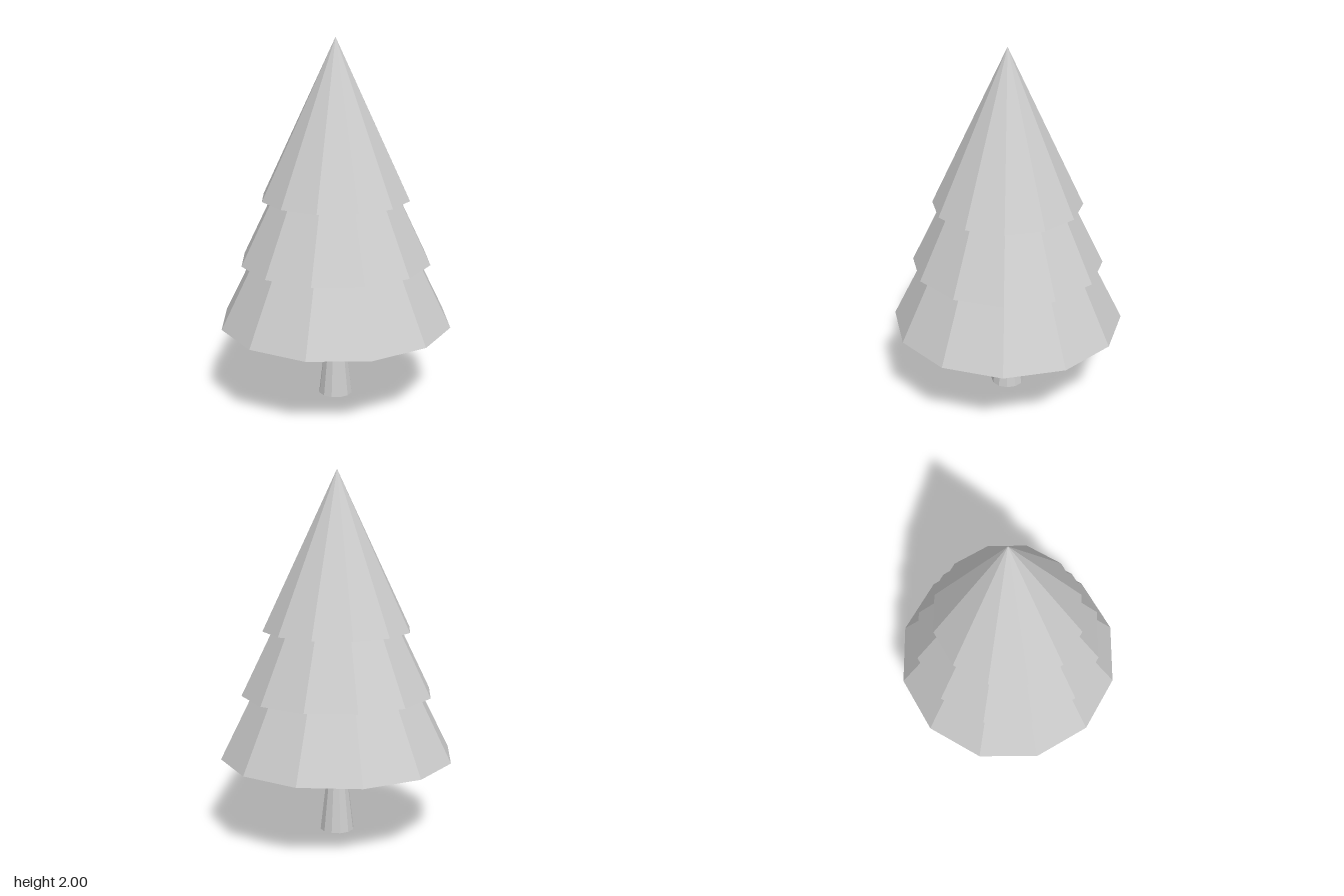
import * as THREE from 'three';

const SIDES = 12;

export function createModel() {
  const tree = new THREE.Group();
  tree.name = 'tree';
  const grey = new THREE.MeshStandardMaterial({ color: 0xcccccc, flatShading: true });
  grey.name = 'plain grey';

  // Closed, faceted cone or frustum standing on height y
  function addTier(name, topRadius, baseRadius, y, height) {
    const geometry = new THREE.CylinderGeometry(topRadius, baseRadius, height, SIDES);
    geometry.translate(0, y + height / 2, 0);
    const mesh = new THREE.Mesh(geometry, grey);
    mesh.name = name;
    tree.add(mesh);
  }

  // Tapered trunk, ending just inside the foliage
  addTier('trunk', 0.04, 0.095, 0, 0.46);

  // Three overlapping tiers of foliage
  addTier('lowerFoliage', 0, 0.647, 0.44, 1.29);
  addTier('middleFoliage', 0, 0.529, 0.79, 1.08);
  addTier('upperFoliage', 0, 0.41, 1.14, 0.86);

  return tree;
}
